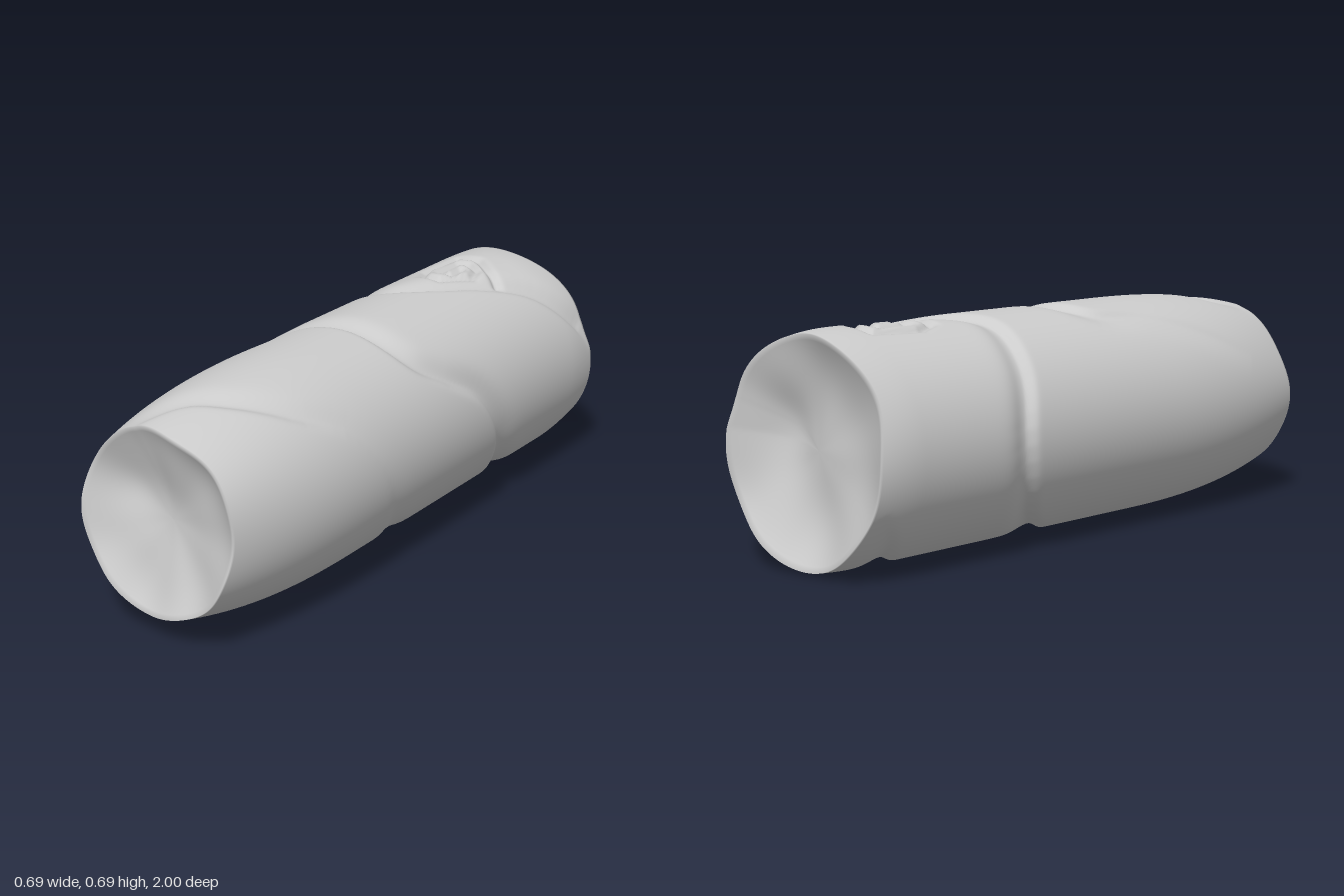
import * as THREE from 'three';

const R = 0.345, TURN = Math.PI * 2 * R;
const SIDES = 220, BODY = 250, DISH = 20;

// Paths are [degrees around from the top, z, strength] unrolled onto a flat sheet.
function unroll(points, smooth) {
  const pts = points.map(([deg, z, strength = 1]) => new THREE.Vector3(THREE.MathUtils.degToRad(deg) * R, z, strength));
  if (!smooth) return pts;
  return new THREE.CatmullRomCurve3(pts, false, 'centripetal').getPoints(95);
}

// The two long seams that wind around the roll, and the small square spiral on top
const grooves = [
  {
    path: unroll([[82, -0.98, 0], [72, -0.93, 0.6], [62, -0.88], [38, -0.75], [20, -0.58], [5, -0.42], [-8, -0.34],
      [-20, -0.32], [-50, -0.35], [-90, -0.4], [-130, -0.32], [-165, -0.13], [-190, 0], [-215, 0.12, 0.7],
      [-235, 0.2, 0.2], [-270, 0.29, 0.15], [-300, 0.42, 0.3], [-322, 0.6, 0.6], [-345, 0.72, 0.7],
      [-362, 0.78, 0.7], [-375, 0.88, 0.4], [-380, 0.95, 0]], true),
    depth: 0.022, steep: 0.022, gentle: 0.055,
  },
  {
    path: unroll([[-65, 0.72, 0], [-45, 0.5, 0.3], [-30, 0.3, 0.4], [-22, 0.12, 0.7], [0, 0.06], [30, 0.04], [45, 0],
      [58, -0.1], [75, -0.25], [100, -0.36], [130, -0.45], [165, -0.62], [200, -0.78, 0.8], [225, -0.87, 0.4],
      [245, -0.95, 0]], true),
    depth: 0.022, steep: 0.022, gentle: 0.055,
  },
  {
    path: unroll([[24, -0.67], [12, -0.71], [0, -0.77], [-14, -0.775], [-17, -0.6], [-12, -0.53], [0, -0.52],
      [11, -0.62], [8, -0.68], [-1, -0.715], [-7, -0.71], [-7, -0.59], [1, -0.59], [1, -0.65]], false),
    depth: 0.017, steep: 0.016, gentle: 0.016,
  },
];

// How far the surface sinks into a groove at angle a and length z
function sink({ path, depth, steep, gentle }, a, z) {
  let best = Infinity, below = false, strength = 0;
  for (let i = 0; i < path.length - 1; i++) {
    const p = path[i], q = path[i + 1];
    let du = a * R - p.x;
    du -= Math.round(du / TURN) * TURN;
    const dz = z - p.y, eu = q.x - p.x, ez = q.y - p.y;
    const t = THREE.MathUtils.clamp((du * eu + dz * ez) / (eu * eu + ez * ez), 0, 1);
    const d = Math.hypot(du - t * eu, dz - t * ez);
    if (d < best) {
      best = d;
      below = dz < t * ez;
      strength = p.z + (q.z - p.z) * t;
    }
  }
  return depth * strength * Math.exp(-((best / (below ? gentle : steep)) ** 2));
}

// Uneven rims
const frontRim = (a) => 0.965 - 0.018 * Math.cos(a) + 0.02 * Math.sin(a) + 0.007 * Math.sin(3 * a + 1) + 0.004 * Math.sin(7 * a);
const backRim = (a) => -0.967 + 0.02 * Math.cos(a) + 0.004 * Math.sin(a) + 0.008 * Math.sin(4 * a) + 0.006 * Math.sin(6 * a + 1);

// Radius of the roll: narrower at the front, slightly rounded at the back
function radius(a, z) {
  const f = Math.max(0, (z - 0.3) / 0.7), b = Math.max(0, (-z - 0.82) / 0.18);
  const lean = 0.076 - 0.003 * Math.cos(a) - 0.003 * Math.sin(a) + 0.004 * Math.sin(5 * a);
  const back = (0.018 + 0.006 * Math.sin(3 * a) + 0.005 * Math.sin(5 * a + 1)) * b * b;
  let r = R - lean * f ** 2.5 - back;
  for (const g of grooves) r -= sink(g, a, z);
  return r;
}

// Shallow hollow of an end with an off-centre pit; s runs from 0 in the middle to 1 at the rim
function hollow(a, s, rim, dir) {
  const mid = dir * 0.967, x = s * Math.sin(a), y = s * Math.cos(a);
  const pit = 0.035 * (1 - s ** 4) * Math.exp(-(((x + 0.4 * dir) ** 2 + (y - 0.2) ** 2) / 0.16));
  const lumps = 0.01 * (1 - s * s) * Math.sin(5 * x + dir) * Math.cos(4 * y);
  return mid + (rim - mid) * s * s - dir * (0.06 * (1 - s ** 3) + pit + lumps);
}

function rollGeometry() {
  const rings = [];
  const addDish = (rim, dir, s) => rings.push((a) => [radius(a, rim(a)) * s, hollow(a, s, rim(a), dir)]);
  for (let i = 0; i < DISH; i++) addDish(frontRim, 1, i / DISH);
  for (let i = 0; i <= BODY; i++) {
    rings.push((a) => {
      const z = THREE.MathUtils.lerp(frontRim(a), backRim(a), i / BODY);
      return [radius(a, z), z];
    });
  }
  for (let i = DISH - 1; i >= 0; i--) addDish(backRim, -1, i / DISH);

  const position = [], index = [];
  rings.forEach((ring, i) => {
    for (let j = 0; j < SIDES; j++) {
      const a = (j / SIDES) * Math.PI * 2;
      const [r, z] = ring(a);
      position.push(r * Math.sin(a), R + r * Math.cos(a), z);
      if (i === rings.length - 1) continue;
      const k = (j + 1) % SIDES, n = i * SIDES, m = n + SIDES;
      index.push(n + j, n + k, m + j, n + k, m + k, m + j);
    }
  });
  const geometry = new THREE.BufferGeometry();
  geometry.setAttribute('position', new THREE.Float32BufferAttribute(position, 3));
  geometry.setIndex(index);
  geometry.computeVertexNormals();
  return geometry;
}

export function createModel() {
  const model = new THREE.Group();
  model.name = 'carvedLog';
  const log = new THREE.Mesh(rollGeometry(), new THREE.MeshStandardMaterial({ color: 0xcccccc }));
  log.name = 'log';
  model.add(log);
  return model;
}
